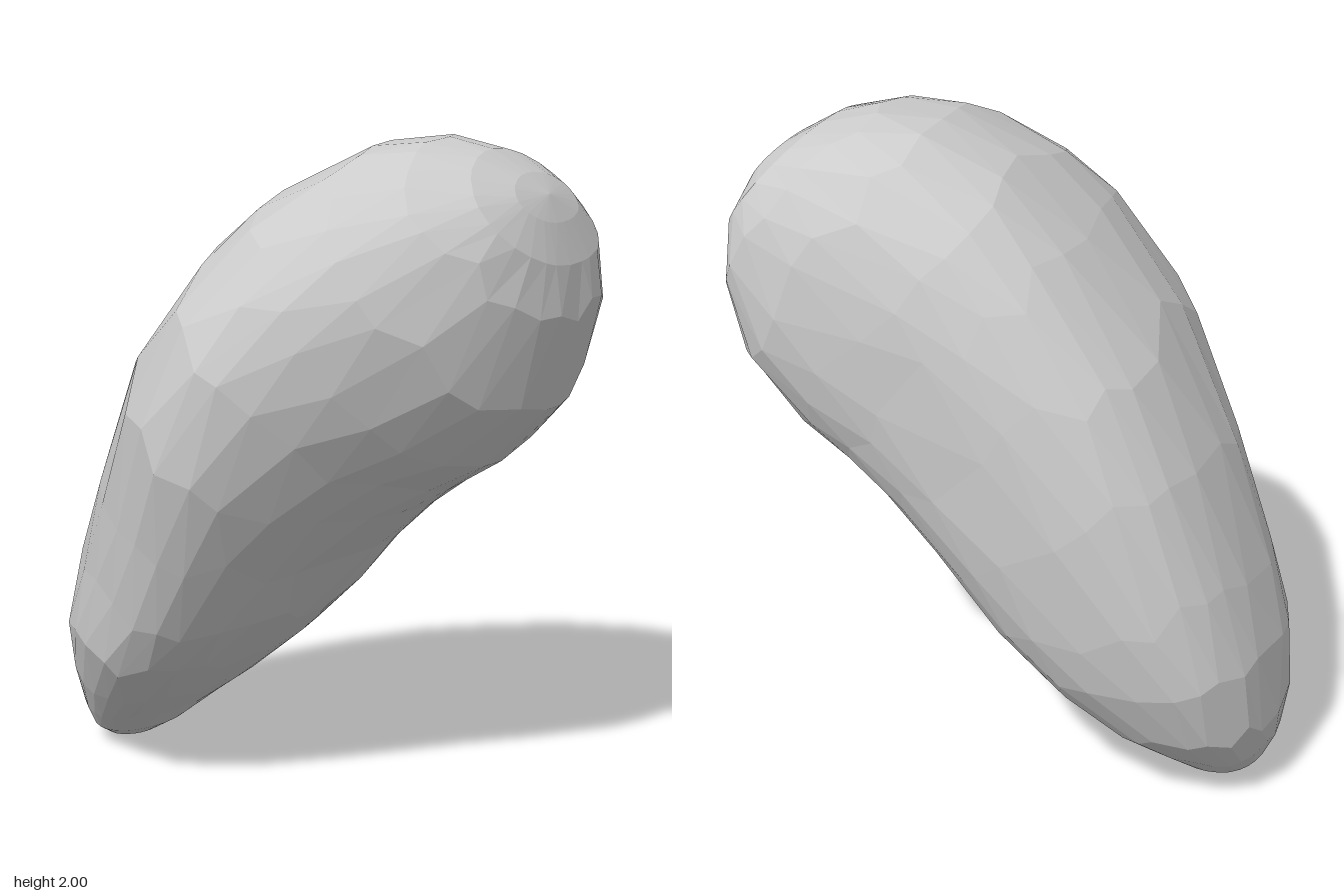
import * as THREE from 'three';

// Cross-sections from the low tip to the high end:
// upper edge x, y | lower edge x, y | front z, back z |
// shift of the front and back bulge to the lower edge | back roundness
const SECTIONS = [
  [-0.74, 0.015, -0.60, 0.005, 0.03, -0.18, 0, 0, 0.9],
  [-0.785, 0.06, -0.53, 0.045, 0.11, -0.27, 0.1, 0, 0.85],
  [-0.82, 0.14, -0.42, 0.135, 0.20, -0.37, 0.25, 0, 0.8],
  [-0.845, 0.28, -0.30, 0.225, 0.31, -0.48, 0.35, 0, 0.75],
  [-0.83, 0.47, -0.14, 0.36, 0.45, -0.56, 0.37, 0, 0.72],
  [-0.75, 0.74, 0.03, 0.52, 0.52, -0.61, 0.35, 0, 0.72],
  [-0.62, 1.07, 0.17, 0.69, 0.58, -0.635, 0.25, 0, 0.72],
  [-0.43, 1.42, 0.34, 0.85, 0.645, -0.64, 0.05, 0, 0.72],
  [-0.20, 1.68, 0.47, 0.945, 0.62, -0.64, -0.1, 0, 0.74],
  [0.00, 1.86, 0.62, 1.045, 0.53, -0.64, -0.15, 0.05, 0.76],
  [0.23, 1.975, 0.77, 1.22, 0.40, -0.63, -0.15, 0.15, 0.8],
  [0.42, 2.00, 0.84, 1.49, 0.22, -0.58, -0.1, 0.25, 0.85],
  [0.57, 1.965, 0.825, 1.64, 0.09, -0.52, 0, 0.25, 0.9],
  [0.68, 1.90, 0.785, 1.76, -0.06, -0.41, 0, 0.1, 0.9],
];
const SIDES = 26;
const LAST = SECTIONS.length - 1;

// Smooth rails through the section data, for points lying between sections
const rail = (pick) => new THREE.CatmullRomCurve3(
  SECTIONS.map((s) => new THREE.Vector3(...pick(s))), false, 'catmullrom', 0.5);
const upperRail = rail((s) => [s[0], s[1], s[4]]);
const lowerRail = rail((s) => [s[2], s[3], s[5]]);
const shapeRail = rail((s) => [s[6], s[7], s[8]]);

function seeded(seed) {
  return () => {
    seed = (seed * 16807) % 2147483647;
    return seed / 2147483647 - 0.5;
  };
}

// Point on the stone: tapered in front, blunter at the back
function stonePoint(place, t) {
  const upper = upperRail.getPoint(place), lower = lowerRail.getPoint(place);
  const shape = shapeRail.getPoint(place);
  const midZ = -0.08 - 0.14 * place;
  const c = Math.cos(t), s = Math.sin(t);
  const power = s > 0 ? 1.06 : shape.z;
  let u = Math.sign(c) * Math.abs(c) ** power;
  u -= (s > 0 ? shape.x : shape.y) * (1 - u * u);
  const reach = (s > 0 ? upper.z : lower.z) - midZ;
  return [
    (upper.x + lower.x) / 2 + ((upper.x - lower.x) / 2) * u,
    (upper.y + lower.y) / 2 + ((upper.y - lower.y) / 2) * u,
    midZ + reach * Math.abs(s) ** power,
  ];
}

function stoneGeometry() {
  const rand = seeded(4127);
  const positions = [], index = [];

  // Rings, staggered and uneven to give irregular facets
  for (let i = 0; i <= LAST; i++) {
    const wander = i > 1 && i < LAST - 1 ? 0.4 : 0;
    for (let j = 0; j < SIDES; j++) {
      const t = ((j + (i % 2) * 0.5 + rand() * 0.35) / SIDES) * Math.PI * 2;
      positions.push(...stonePoint((i + rand() * wander) / LAST, t));
    }
  }

  // Skin between the rings
  for (let i = 0; i < LAST; i++) {
    for (let j = 0; j < SIDES; j++) {
      const n = (j + 1) % SIDES;
      const a = i * SIDES + j, b = i * SIDES + n;
      const c = a + SIDES, d = b + SIDES;
      if (i % 2) index.push(a, b, d, a, d, c);
      else index.push(a, b, c, b, d, c);
    }
  }

  // Closed ends
  const low = positions.length / 3, high = low + 1;
  positions.push(-0.66, 0, -0.08, 0.745, 1.84, -0.23);
  for (let j = 0; j < SIDES; j++) {
    const n = (j + 1) % SIDES;
    index.push(low, n, j, high, LAST * SIDES + j, LAST * SIDES + n);
  }

  const geometry = new THREE.BufferGeometry();
  geometry.setAttribute('position', new THREE.Float32BufferAttribute(positions, 3));
  geometry.setIndex(index);
  geometry.computeVertexNormals();
  return geometry;
}

export function createModel() {
  const group = new THREE.Group();
  group.name = 'leaningStone';
  const material = new THREE.MeshStandardMaterial({ color: 0xcccccc, flatShading: true });
  const stone = new THREE.Mesh(stoneGeometry(), material);
  stone.name = 'stone';
  group.add(stone);
  return group;
}
